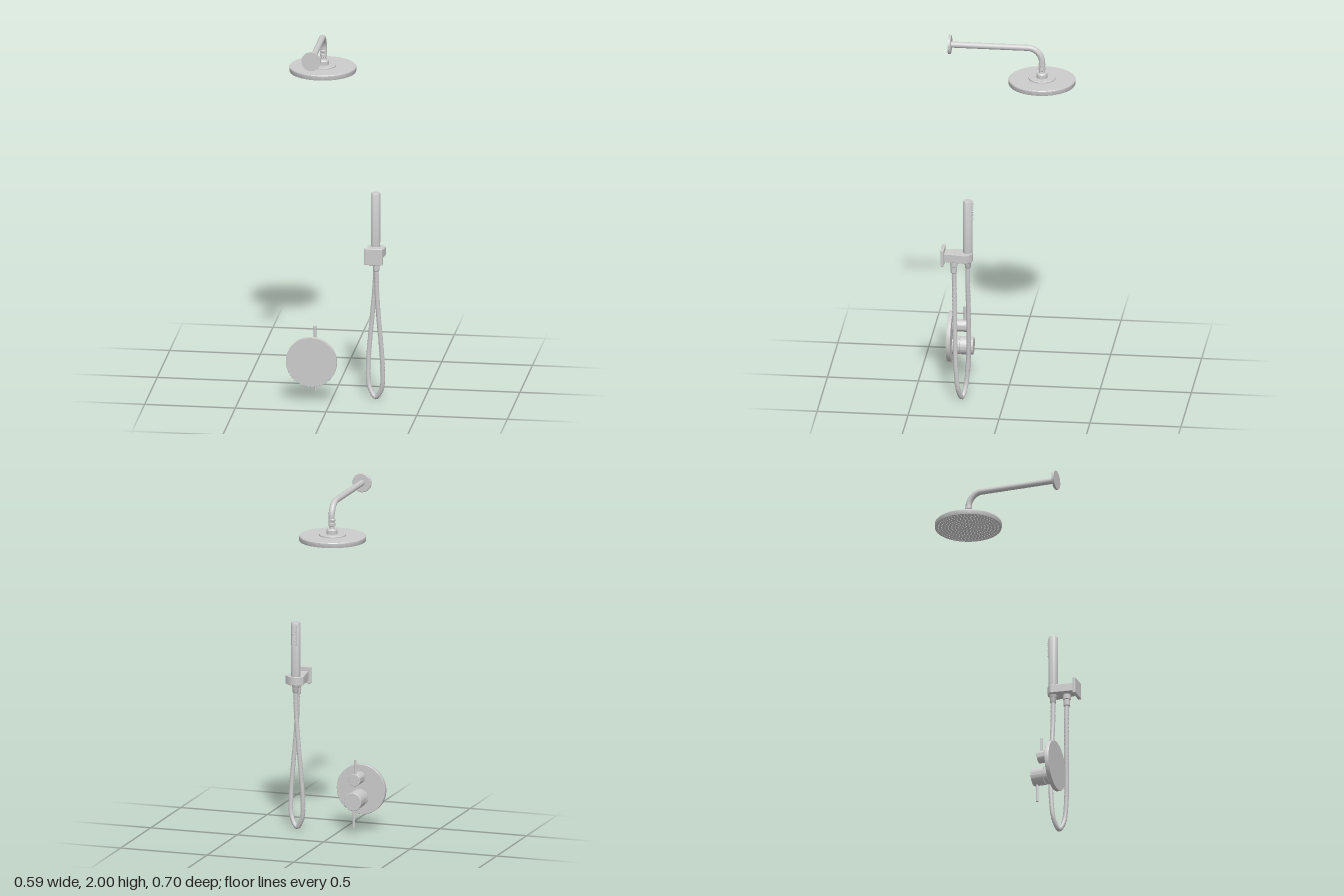
import * as THREE from 'three';
import { mergeGeometries, toCreasedNormals } from 'three/addons/utils/BufferGeometryUtils.js';
import { RoundedBoxGeometry } from 'three/addons/geometries/RoundedBoxGeometry.js';

const WALL = 0.346; // wall plane; fittings project towards -z

export function createModel() {
  const material = new THREE.MeshStandardMaterial({ color: 0xcccccc });
  const model = new THREE.Group();

  function group(name) {
    const g = new THREE.Group();
    g.name = name;
    model.add(g);
    return g;
  }
  function add(parent, name, geometry, x = 0, y = 0, z = 0) {
    const mesh = new THREE.Mesh(geometry, material);
    mesh.name = name;
    mesh.position.set(x, y, z);
    parent.add(mesh);
    return mesh;
  }
  // Turned part from [radius, height] pairs, listed bottom to top
  function turned(profile, segments = 48) {
    const points = profile.map(([r, h]) => new THREE.Vector2(r, h));
    return toCreasedNormals(new THREE.LatheGeometry(points, segments), 0.6);
  }
  // Turned part whose heights are distances out from the wall
  const fromWall = (profile, segments) => turned(profile, segments).rotateX(-Math.PI / 2);

  // Overhead shower: flange, bent arm, swivel joint and round head
  const overhead = group('overheadShower');
  const ax = -0.104, ay = 1.952, az = -0.167;
  add(overhead, 'armFlange', fromWall([[0, 0], [0.053, 0], [0.053, 0.012], [0.05, 0.015], [0, 0.015]]), ax, ay, WALL);
  const armPath = new THREE.CurvePath();
  const bend = 0.075;
  const v = (x, y, z) => new THREE.Vector3(x, y, z);
  armPath.add(new THREE.LineCurve3(v(ax, ay, 0.34), v(ax, ay, az + bend)));
  const k = bend * 0.45;
  armPath.add(new THREE.CubicBezierCurve3(
    v(ax, ay, az + bend), v(ax, ay, az + k), v(ax, ay - bend + k, az), v(ax, ay - bend, az)));
  armPath.add(new THREE.LineCurve3(v(ax, ay - bend, az), v(ax, 1.835, az)));
  add(overhead, 'arm', new THREE.TubeGeometry(armPath, 120, 0.017, 24));
  add(overhead, 'swivelJoint', turned([
    [0, 1.765], [0.03, 1.765], [0.03, 1.802], [0.025, 1.809], [0.016, 1.81], [0.014, 1.822],
    [0.019, 1.826], [0.019, 1.842], [0.016, 1.845], [0.016, 1.85], [0.019, 1.853],
    [0.019, 1.862], [0.016, 1.866], [0, 1.866],
  ], 32), ax - 0.002, 0, az);
  const hx = -0.11;
  add(overhead, 'showerHead', turned([
    [0, 1.746], [0.172, 1.746], [0.174, 1.743], [0.181, 1.743], [0.183, 1.747], [0.183, 1.768],
    [0.18, 1.772], [0.073, 1.772], [0.073, 1.778], [0.07, 1.781], [0, 1.781],
  ], 96), hx, 0, az);
  const nozzles = [];
  for (let ring = 1; ring <= 9; ring++) {
    const count = ring * 6, r = ring * 0.0182;
    for (let i = 0; i < count; i++) {
      const a = (i / count) * Math.PI * 2 + ring * 0.3;
      nozzles.push(new THREE.CylinderGeometry(0.0045, 0.003, 0.006, 8)
        .translate(Math.cos(a) * r, 0, Math.sin(a) * r));
    }
  }
  add(overhead, 'headNozzles', mergeGeometries(nozzles), hx, 1.744, az);

  // Mixer valve: round plate with two knobs and pin levers
  const valve = group('mixerValve');
  add(valve, 'valvePlate', fromWall(
    [[0, 0], [0.139, 0], [0.14, 0.002], [0.14, 0.022], [0.138, 0.024], [0, 0.024]], 80), -0.103, 0.233, WALL);
  const kx = -0.095;
  add(valve, 'temperatureKnob', fromWall([
    [0.05, 0.022], [0.05, 0.034], [0.041, 0.036], [0.041, 0.044], [0.049, 0.046], [0.049, 0.064],
    [0.045, 0.065], [0.045, 0.068], [0.05, 0.069], [0.05, 0.138], [0.048, 0.14], [0, 0.14],
  ]), kx, 0.186, WALL);
  add(valve, 'diverterKnob', fromWall([
    [0.034, 0.022], [0.034, 0.034], [0.026, 0.036], [0.026, 0.046], [0.034, 0.048],
    [0.034, 0.108], [0.032, 0.11], [0, 0.11],
  ]), kx, 0.302, WALL);
  const lever = (len) => new THREE.CylinderGeometry(0.0075, 0.0075, len, 16);
  add(valve, 'diverterLever', lever(0.1), kx, 0.364, 0.254);
  add(valve, 'temperatureLever', lever(0.12), kx, 0.097, 0.228);

  // Hand shower holder: wall plate, tapered bracket and hose outlet
  const holder = group('handShowerHolder');
  add(holder, 'holderPlate', new RoundedBoxGeometry(0.102, 0.095, 0.018, 3, 0.005), 0.239, 0.849, 0.337);
  const outline = new THREE.Shape();
  outline.moveTo(0.203, -0.332);
  outline.lineTo(0.274, -0.332);
  outline.lineTo(0.291, -0.205);
  outline.quadraticCurveTo(0.264, -0.174, 0.24, -0.173);
  outline.quadraticCurveTo(0.203, -0.173, 0.187, -0.202);
  outline.closePath();
  const hole = new THREE.Path();
  hole.absarc(0.232, -0.2, 0.0255, 0, Math.PI * 2, true);
  outline.holes.push(hole);
  add(holder, 'bracket', new THREE.ExtrudeGeometry(outline, {
    depth: 0.042, bevelEnabled: true, bevelSize: 0.002, bevelThickness: 0.003, bevelSegments: 2, bevelOffset: -0.002, curveSegments: 24,
  }).rotateX(-Math.PI / 2), 0, 0.825, 0);
  add(holder, 'hoseOutlet', turned([
    [0, 0.752], [0.015, 0.752], [0.018, 0.756], [0.018, 0.79], [0.021, 0.793], [0.021, 0.826], [0, 0.826],
  ], 32), 0.247, 0, 0.277);

  // Hand shower: slim wand with a nozzle panel facing away from the wall
  const hand = group('handShower');
  add(hand, 'wand', turned([
    [0, 0.775], [0.013, 0.775], [0.016, 0.78], [0.017, 0.806], [0.021, 0.812], [0.025, 0.87],
    [0.026, 0.9], [0.026, 1.169], [0.024, 1.173], [0, 1.173],
  ], 40), 0.232, 0, 0.202);
  add(hand, 'sprayPanel', new RoundedBoxGeometry(0.03, 0.115, 0.012, 2, 0.003), 0.232, 1.105, 0.183);
  const jets = [];
  for (let row = 0; row < 8; row++) {
    for (let col = -1; col <= 1; col++) {
      jets.push(new THREE.CylinderGeometry(0.002, 0.0032, 0.006, 8)
        .rotateX(-Math.PI / 2).translate(col * 0.0095, row * 0.013, 0));
    }
  }
  add(hand, 'wandNozzles', mergeGeometries(jets), 0.232, 1.06, 0.176);

  // Flexible hose: hanging loop with ribs made by alternating the ring radius
  const hosePath = new THREE.CatmullRomCurve3([
    [0.247, 0.76, 0.276], [0.248, 0.66, 0.274], [0.257, 0.5, 0.271], [0.272, 0.32, 0.267],
    [0.279, 0.18, 0.261], [0.272, 0.07, 0.25], [0.236, 0.016, 0.233], [0.2, 0.07, 0.216],
    [0.192, 0.18, 0.206], [0.2, 0.32, 0.2], [0.216, 0.5, 0.2], [0.229, 0.66, 0.202], [0.232, 0.79, 0.202],
  ].map((p) => v(...p)));
  const rings = 400, sides = 14;
  const hose = new THREE.TubeGeometry(hosePath, rings, 0.0135, sides);
  const pos = hose.attributes.position;
  const p = new THREE.Vector3();
  for (let i = 1; i <= rings; i += 2) {
    const centre = hosePath.getPointAt(i / rings);
    for (let j = 0; j <= sides; j++) {
      const n = i * (sides + 1) + j;
      p.fromBufferAttribute(pos, n).sub(centre).multiplyScalar(0.82).add(centre);
      pos.setXYZ(n, p.x, p.y, p.z);
    }
  }
  hose.computeVertexNormals();
  add(group('hoseAssembly'), 'flexibleHose', hose);

  return model;
}
